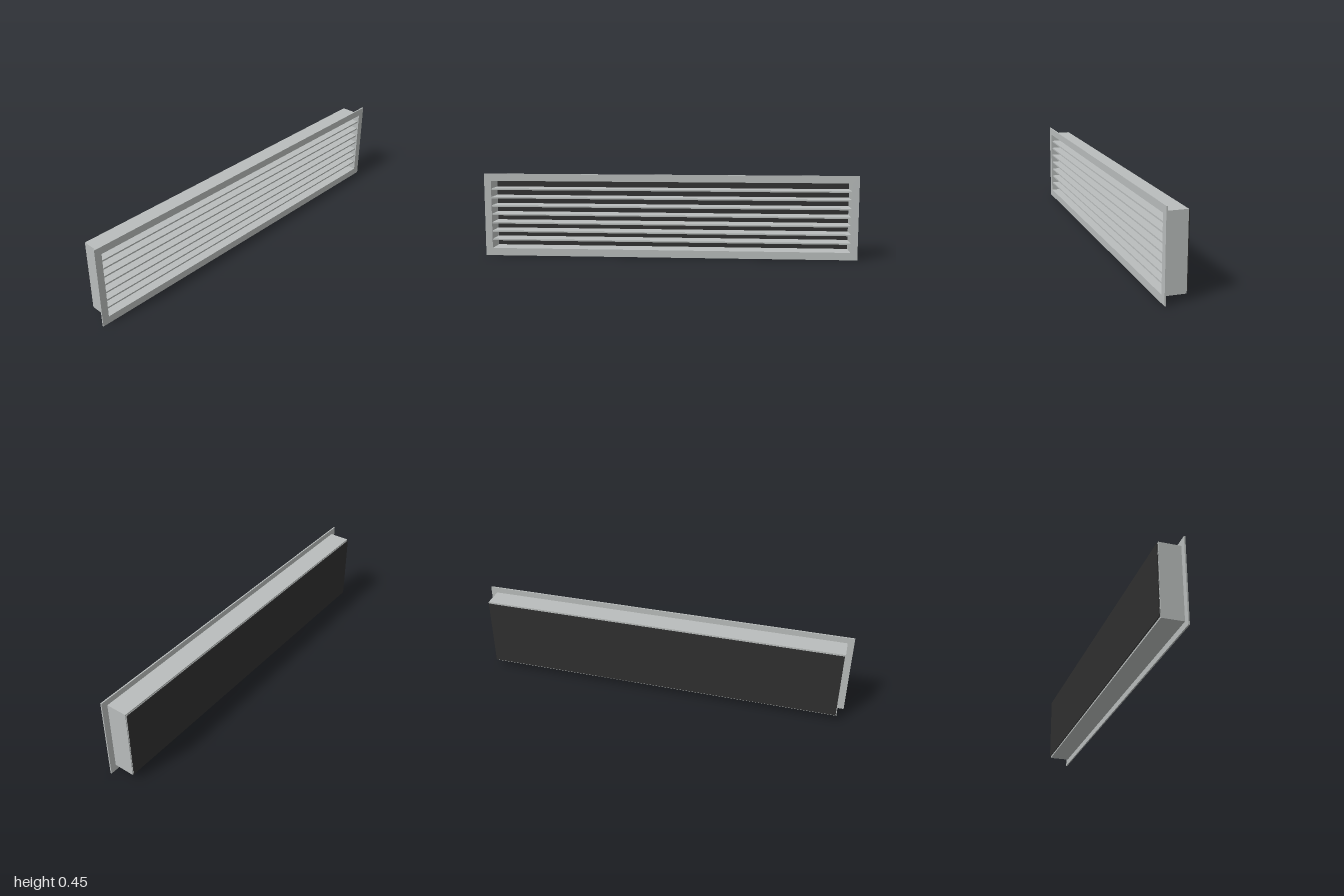
import * as THREE from 'three';

// Rectangular ring with a rectangular hole, extruded from z0 to z1
function ring(x, y0, y1, hx, hy0, hy1, z0, z1) {
  const rect = (path, w, a, b) => path.moveTo(-w, a).lineTo(w, a).lineTo(w, b).lineTo(-w, b).closePath();
  const shape = rect(new THREE.Shape(), x, y0, y1);
  shape.holes.push(rect(new THREE.Path(), hx, hy0, hy1));
  return new THREE.ExtrudeGeometry(shape, { depth: z1 - z0, bevelEnabled: false }).translate(0, 0, z0);
}

export function createModel() {
  const group = new THREE.Group();
  const metal = new THREE.MeshStandardMaterial({ color: 0xb9bdbc });
  metal.name = 'greyMetal';
  const dark = new THREE.MeshStandardMaterial({ color: 0x2f2f2f });
  dark.name = 'darkBacking';

  const add = (name, geometry, material, y = 0, z = 0) => {
    const mesh = new THREE.Mesh(geometry, material);
    mesh.name = name;
    mesh.position.set(0, y, z);
    group.add(mesh);
  };

  const bottom = 0.04, top = 0.408, halfWidth = 0.963;

  // Front flange and the duct sleeve behind it
  add('frontFrame', ring(1, 0, 0.447, halfWidth, bottom, top, 0.055, 0.062), metal);
  add('sleeve', ring(0.967, 0.032, 0.416, halfWidth, bottom, top, -0.055, 0.055), metal);

  // Seven evenly spaced horizontal louvre blades
  const blade = new THREE.BoxGeometry(halfWidth * 2, 0.008, 0.109);
  const pitch = (top - bottom) / 8;
  for (let i = 1; i < 8; i++) add('blade' + i, blade, metal, bottom + i * pitch, 0.0005);

  // Dark panel just behind the sleeve
  add('backPanel', new THREE.BoxGeometry(halfWidth * 2, top - bottom + 0.002, 0.004), dark, (top + bottom) / 2, -0.06);

  return group;
}
